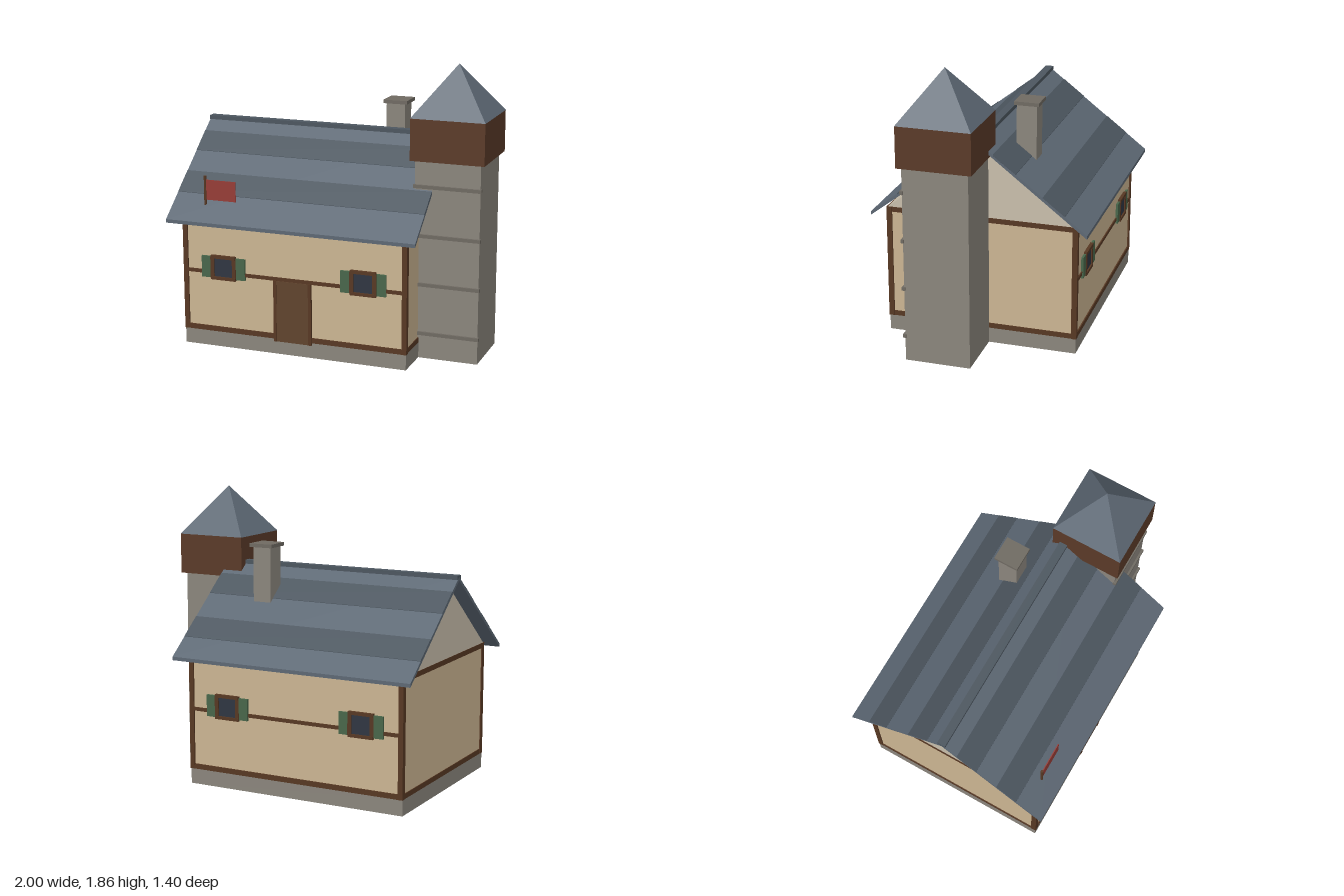
import * as THREE from 'three';

const paint = (color) => new THREE.MeshStandardMaterial({ color, flatShading: true });
const STONE = paint(0x8a857c), WALL = paint(0xcbb592), GABLE = paint(0xc8beab);
const TIMBER = paint(0x573823), CAP = paint(0x5a3a28), DOOR = paint(0x60432d);
const SLATE = paint(0x5d6874), DARK_SLATE = paint(0x4c565f), GLASS = paint(0x2f3541);
const GREEN = paint(0x48664a), RED = paint(0x963c36), TRIM = paint(0x6f6a62);

// House outline
const X0 = -0.92, X1 = 0.585, Z = 0.62, CX = (X0 + X1) / 2;
// Height of the roof's top surface at distance z from the ridge
const roofY = (z) => 0.84 + (0.70 - z) * 0.77;

export function createModel() {
  const model = new THREE.Group();

  const add = (parent, name, geometry, material) => {
    const mesh = new THREE.Mesh(geometry, material);
    mesh.name = name;
    parent.add(mesh);
    return mesh;
  };
  // Box given by its extents along each axis
  const box = (parent, name, material, [x0, x1], [y0, y1], [z0, z1]) => {
    const mesh = add(parent, name, new THREE.BoxGeometry(x1 - x0, y1 - y0, z1 - z0), material);
    mesh.position.set((x0 + x1) / 2, (y0 + y1) / 2, (z0 + z1) / 2);
    return mesh;
  };
  // Prism with a (z, y) profile, running along x
  const prism = (parent, name, material, profile, x0, x1) => {
    const shape = new THREE.Shape(profile.map(([z, y]) => new THREE.Vector2(-z, y)));
    const geometry = new THREE.ExtrudeGeometry(shape, { depth: x1 - x0, bevelEnabled: false });
    geometry.rotateY(Math.PI / 2).translate(x0, 0, 0);
    return add(parent, name, geometry, material);
  };
  const group = (name) => {
    const g = new THREE.Group();
    g.name = name;
    model.add(g);
    return g;
  };

  // Foundation, walls and gables
  box(model, 'foundation', STONE, [X0, X1], [0, 0.1], [-Z, Z]);
  box(model, 'walls', WALL, [X0 + 0.005, X1 - 0.005], [0.1, 0.85], [-Z + 0.005, Z - 0.005]);
  prism(model, 'gables', GABLE, [[-Z, 0.85], [Z, 0.85], [0, 1.335]], X0 + 0.003, X1 - 0.003);

  // Timber frame: corner posts and beams
  const frame = group('timberFrame');
  for (const sz of [-1, 1]) {
    const zr = sz > 0 ? [Z - 0.03, Z + 0.005] : [-Z - 0.005, -Z + 0.03];
    for (const x of [X0 - 0.002, X1 - 0.028])
      box(frame, 'cornerPost', TIMBER, [x, x + 0.032], [0.1, 0.853], zr);
    for (const [y0, y1] of [[0.1, 0.133], [0.485, 0.508], [0.82, 0.852]])
      box(frame, 'longBeam', TIMBER, [X0 + 0.01, X1 - 0.01], [y0, y1], sz > 0 ? [Z - 0.02, Z + 0.003] : [-Z - 0.003, -Z + 0.02]);
  }
  for (const x of [X0, X1 - 0.025])
    for (const y of [0.1, 0.82])
      box(frame, 'endBeam', TIMBER, [x, x + 0.025], [y, y + 0.033], [-Z + 0.01, Z - 0.01]);

  // Door with its jambs
  const door = group('door');
  box(door, 'doorLeaf', DOOR, [-0.275, -0.06], [0.085, 0.486], [Z - 0.02, Z + 0.008]);
  for (const x of [-0.295, -0.06])
    box(door, 'doorJamb', TIMBER, [x, x + 0.02], [0.085, 0.49], [Z - 0.02, Z + 0.012]);

  // Shuttered windows, two on the front and two on the back
  for (const turn of [0, Math.PI])
    for (const side of [-1, 1]) {
      const w = group('window');
      box(w, 'glass', GLASS, [-0.07, 0.07], [-0.065, 0.065], [-0.02, 0.006]);
      for (const s of [-1, 1]) {
        box(w, 'frameRail', TIMBER, [-0.085, 0.085], [s * 0.07 - 0.01, s * 0.07 + 0.01], [-0.02, 0.016]);
        box(w, 'frameStile', TIMBER, [s * 0.075 - 0.013, s * 0.075 + 0.013], [-0.07, 0.07], [-0.02, 0.013]);
        box(w, 'shutter', GREEN, [s * 0.118 - 0.032, s * 0.118 + 0.032], [-0.07, 0.07], [-0.02, 0.01]);
      }
      w.position.set(CX + side * 0.473, 0.532, turn ? -Z : Z);
      w.rotation.y = turn;
    }

  // Roof slopes with darker courses and a ridge cap
  const roof = group('roof');
  const slope = (name, material, s, z0, z1, lift, thick) => {
    const profile = [[z0, roofY(z0) + lift], [z1, roofY(z1) + lift],
      [z1, roofY(z1) + lift - thick], [z0, roofY(z0) + lift - thick]];
    prism(roof, name, material, profile.map(([z, y]) => [s * z, y]), -1, 0.663);
  };
  for (const s of [-1, 1]) {
    slope('roofSlope', SLATE, s, 0, 0.70, 0, 0.023);
    const shift = s < 0 ? 0.02 : 0;
    slope('darkCourse', DARK_SLATE, s, 0.38 + shift * 2, 0.52 + shift * 2, 0.003, 0.008);
    slope('darkCourse', DARK_SLATE, s, 0.105, 0.24 + shift / 2, 0.003, 0.008);
  }
  box(roof, 'ridgeCap', DARK_SLATE, [-1, 0.663], [1.362, 1.388], [-0.027, 0.027]);

  // Chimney
  const chimney = group('chimney');
  box(chimney, 'chimneyStack', STONE, [0.185, 0.31], [1.0, 1.52], [-0.28, -0.15]);
  box(chimney, 'chimneyCap', TRIM, [0.167, 0.328], [1.517, 1.54], [-0.298, -0.136]);

  // Corner tower with front ledges, timber top and pyramid roof
  const tower = group('tower');
  box(tower, 'towerShaft', STONE, [0.55, 0.97], [0, 1.28], [-0.05, 0.37]);
  for (const y of [0.165, 0.485, 0.8, 1.115])
    box(tower, 'towerLedge', TRIM, [0.542, 0.978], [y - 0.011, y + 0.011], [0.362, 0.384]);
  box(tower, 'towerTop', CAP, [0.524, 0.998], [1.276, 1.54], [-0.078, 0.396]);
  const spire = new THREE.ConeGeometry(0.238 * Math.SQRT2, 0.315, 4).rotateY(Math.PI / 4);
  add(tower, 'towerRoof', spire, SLATE).position.set(0.761, 1.6975, 0.159);

  // Flag on the front slope
  const flag = group('flag');
  add(flag, 'flagPole', new THREE.CylinderGeometry(0.009, 0.009, 0.25, 8), TIMBER).position.set(-0.777, 0.99, 0.58);
  box(flag, 'banner', RED, [-0.77, -0.567], [0.96, 1.09], [0.577, 0.583]);

  return model;
}
